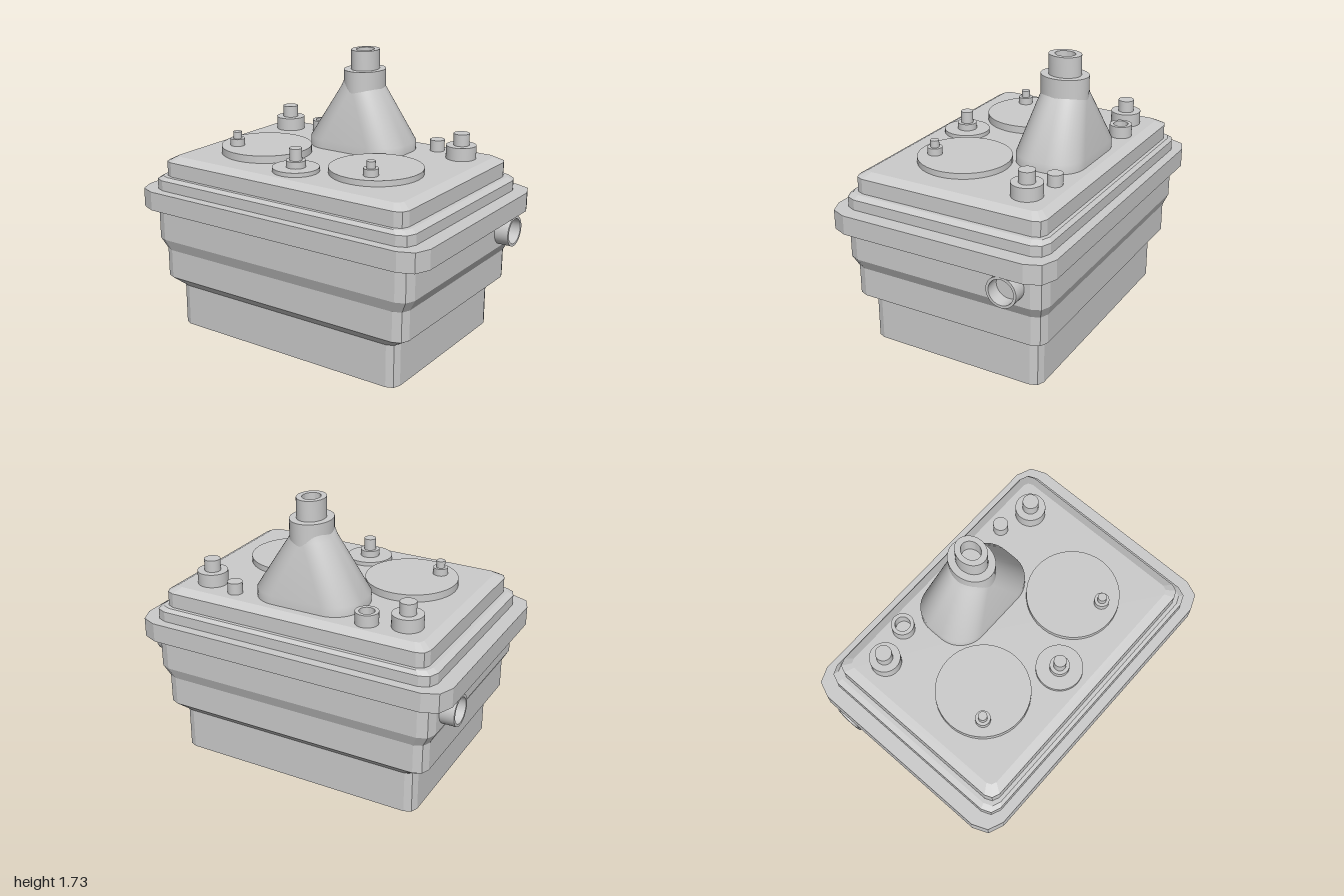
import * as THREE from 'three';
import { toCreasedNormals } from 'three/addons/utils/BufferGeometryUtils.js';

const smooth = new THREE.MeshStandardMaterial({ color: 0xcccccc });
const flat = new THREE.MeshStandardMaterial({ color: 0xcccccc, flatShading: true });

// Rounded-rectangle loop in the xz plane
function loop([y, hx, hz, r], seg) {
  const pts = [];
  [[1, 1], [-1, 1], [-1, -1], [1, -1]].forEach(([sx, sz], q) => {
    for (let i = 0; i <= seg; i++) {
      const a = (q + i / seg) * Math.PI / 2;
      pts.push([sx * (hx - r) + r * Math.cos(a), y, sz * (hz - r) + r * Math.sin(a)]);
    }
  });
  return pts;
}

// Skin stacked loops [y, halfX, halfZ, cornerRadius] and cap both ends
function loft(sections, seg) {
  const rings = sections.map(s => loop(s, seg));
  const n = rings[0].length, top = rings.length - 1, pos = [], idx = [];
  rings.flat().forEach(p => pos.push(...p));
  pos.push(0, sections[0][0], 0, 0, sections[top][0], 0);
  const cBot = n * rings.length, cTop = cBot + 1;
  for (let j = 0; j < n; j++) {
    const k = (j + 1) % n;
    for (let i = 0; i < top; i++) {
      const a = i * n + j, b = i * n + k;
      idx.push(a, a + n, b, b, a + n, b + n);
    }
    idx.push(cBot, j, k, cTop, top * n + k, top * n + j);
  }
  const g = new THREE.BufferGeometry();
  g.setAttribute('position', new THREE.Float32BufferAttribute(pos, 3));
  g.setIndex(idx);
  g.computeVertexNormals();
  return g;
}

export function createModel() {
  const model = new THREE.Group();
  const add = (name, geo, mat = smooth, x = 0, y = 0, z = 0) => {
    const m = new THREE.Mesh(geo, mat);
    m.name = name;
    m.position.set(x, y, z);
    model.add(m);
    return m;
  };
  const disc = (name, x, z, r, y0, y1) =>
    add(name, new THREE.CylinderGeometry(r, r, y1 - y0, 40), smooth, x, (y0 + y1) / 2, z);
  // Tube open at the top with a floor at the given depth
  const tube = (name, ro, ri, h, floor) => {
    const pts = [[ro, 0], [ro, h], [ri, h], [ri, floor], [0, floor]].map(p => new THREE.Vector2(...p));
    return add(name, toCreasedNormals(new THREE.LatheGeometry(pts, 40), 0.6));
  };

  // Stepped tank, rim and lid
  add('tank', loft([
    [0, 0.71, 0.51, 0.05], [0.03, 0.787, 0.563, 0.06], [0.29, 0.787, 0.563, 0.06],
    [0.35, 0.87, 0.623, 0.07], [0.53, 0.87, 0.623, 0.07],
    [0.6, 0.908, 0.65, 0.08], [0.82, 0.908, 0.65, 0.08]], 2), flat);
  add('rim', loft([[0.8, 1, 0.708, 0.13], [0.917, 1, 0.708, 0.13]], 2), flat);
  add('lidLower', loft([[0.9, 0.908, 0.65, 0.08], [0.98, 0.908, 0.65, 0.08],
    [1, 0.875, 0.63, 0.07]], 2), flat);
  add('lidUpper', loft([[0.98, 0.85, 0.608, 0.06], [1.09, 0.85, 0.608, 0.06],
    [1.12, 0.795, 0.555, 0.04]], 2), flat);

  // Tapered hood, collar and outlet
  add('hood', toCreasedNormals(loft([[1.1, 0.33, 0.213, 0.17], [1.175, 0.33, 0.213, 0.17],
    [1.5, 0.13, 0.14, 0.125], [1.56, 0.092, 0.13, 0.09]], 12), 0.6), smooth, 0, 0, -0.298);
  const collar = disc('collar', 0.01, -0.298, 0.122, 1.46, 1.61);
  collar.scale.z = 1.19;
  const outlet = tube('outlet', 0.083, 0.052, 0.13, 0.03);
  outlet.position.set(0.012, 1.6, -0.298);
  outlet.scale.z = 1.19;

  // Side pipes
  for (const s of [1, -1]) {
    const pipe = tube(s > 0 ? 'leftPipe' : 'rightPipe', 0.093, 0.077, 0.115, 0.03);
    pipe.position.set(s * 0.88, 0.71, -0.442);
    pipe.rotation.z = -s * Math.PI / 2;
  }

  // Rear stepped posts
  for (const x of [-0.645, 0.637]) {
    disc('postBase', x, -0.4, 0.091, 1.11, 1.2);
    disc('postCap', x, -0.4, 0.048, 1.19, 1.272);
  }
  // Rear open socket and plain stud
  tube('socket', 0.068, 0.045, 0.085, 0.015).position.set(-0.427, 1.108, -0.465);
  disc('stud', 0.437, -0.465, 0.045, 1.11, 1.19);

  // Round covers with small knobs
  [[-0.412, -0.545, 0.268, 1.165, 1.208, 1.25], [0.387, 0.455, 0.312, 1.155, 1.198, 1.24]]
    .forEach(([x, kx, kz, yTop, yBase, yCap]) => {
      disc('cover', x, 0.15, 0.277, 1.11, yTop);
      disc('knobBase', kx, kz, 0.044, 1.14, yBase);
      disc('knobCap', kx, kz, 0.026, 1.18, yCap);
    });

  // Front centre fitting
  disc('fittingPlate', -0.013, 0.385, 0.138, 1.11, 1.145);
  disc('fittingBase', -0.013, 0.385, 0.058, 1.13, 1.185);
  disc('fittingCap', -0.013, 0.385, 0.037, 1.17, 1.256);

  return model;
}
